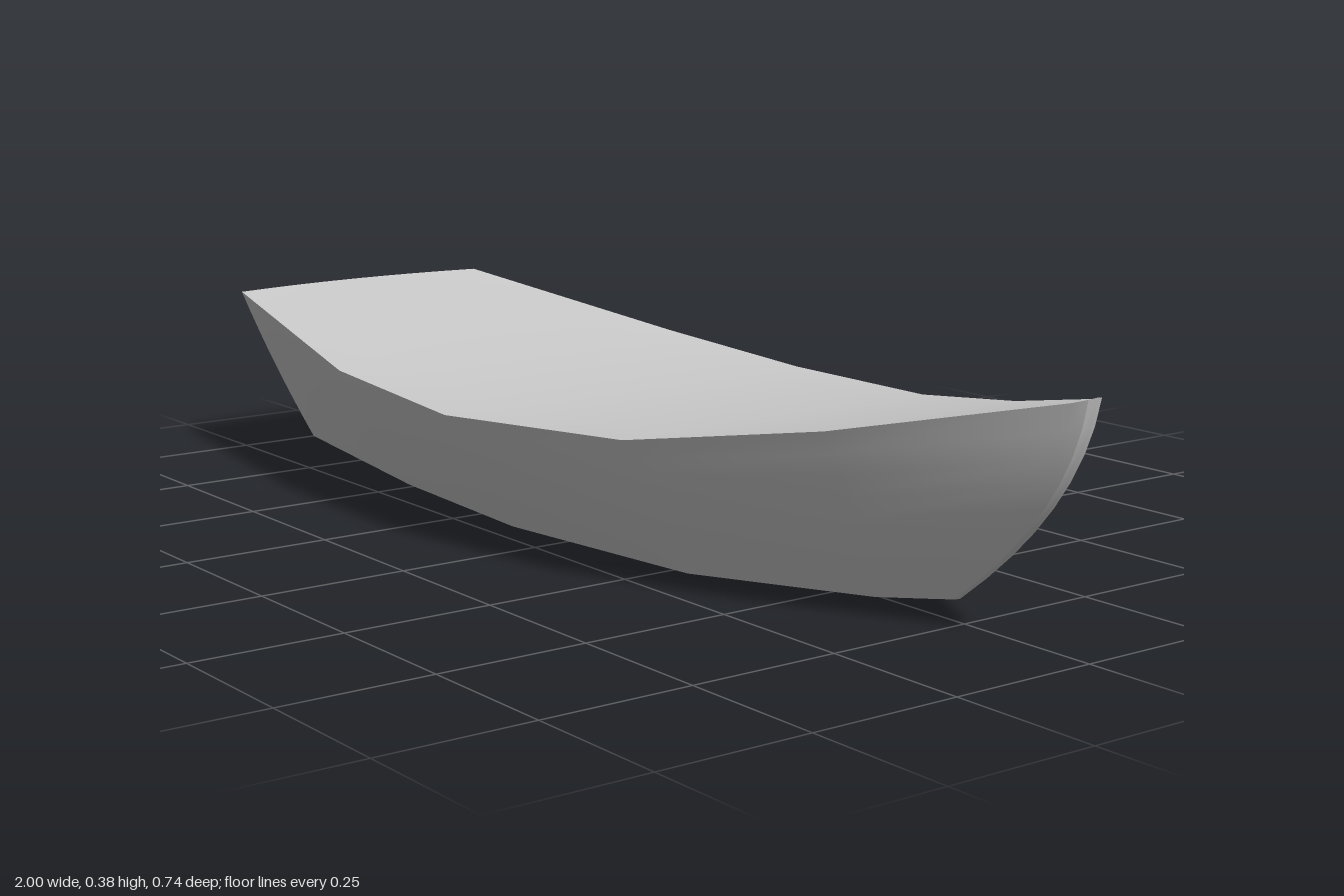
import * as THREE from 'three';
import { toCreasedNormals } from 'three/addons/utils/BufferGeometryUtils.js';

const lerp = THREE.MathUtils.lerp;

// Stations from stern to bow: sheer point, chine point, keel height,
// swell of the side along x and z, and camber of the stern along x
const stations = [
  { sheer: [-0.975, 0.305, 0.262], chine: [-0.84, 0.038, 0.19], keel: 0.034, bx: 0, bz: 0.005, camber: -0.025 },
  { sheer: [-0.44, 0.241, 0.357], chine: [-0.44, 0.021, 0.222], keel: 0.009, bx: 0, bz: 0.006, camber: 0 },
  { sheer: [-0.08, 0.222, 0.369], chine: [-0.08, 0.018, 0.24], keel: 0.003, bx: 0, bz: 0.006, camber: 0 },
  { sheer: [0.32, 0.24, 0.305], chine: [0.32, 0.013, 0.18], keel: 0, bx: 0, bz: 0.008, camber: 0 },
  { sheer: [0.65, 0.294, 0.19], chine: [0.62, 0.022, 0.06], keel: 0.016, bx: 0.01, bz: 0.01, camber: 0 },
  { sheer: [0.975, 0.367, 0.026], chine: [0.715, 0.032, 0.014], keel: 0.03, bx: 0.05, bz: 0, camber: 0 },
  { sheer: [0.994, 0.373, 0.013], chine: [0.734, 0.035, 0.007], keel: 0.034, bx: 0.05, bz: 0, camber: 0 },
  { sheer: [1, 0.376, 0], chine: [0.74, 0.036, 0], keel: 0.036, bx: 0.05, bz: 0, camber: 0 },
];

// Point on the topsides: t runs from chine (0) to sheer (1)
function sidePoint(st, side, t) {
  const swell = 4 * t * (1 - t);
  return [
    lerp(st.chine[0], st.sheer[0], t) + st.bx * swell,
    lerp(st.chine[1], st.sheer[1], t),
    side * (lerp(st.chine[2], st.sheer[2], t) + st.bz * swell),
  ];
}

// Point across the boat at height t: s runs from -1 to 1
function crossPoint(st, s, t) {
  const [x, y, z] = sidePoint(st, 1, t);
  return [x + st.camber * t * (1 - s * s), y, z * s];
}

// Skin a grid of points
function loft(name, rows, crease) {
  const cols = rows[0].length;
  const index = [];
  for (let i = 0; i < rows.length - 1; i++) {
    for (let j = 0; j < cols - 1; j++) {
      const a = i * cols + j;
      index.push(a, a + 1, a + cols, a + 1, a + cols + 1, a + cols);
    }
  }
  const geometry = new THREE.BufferGeometry();
  geometry.setAttribute('position', new THREE.Float32BufferAttribute(rows.flat(2), 3));
  geometry.setIndex(index);
  geometry.computeVertexNormals();
  const material = new THREE.MeshStandardMaterial({ color: 0xcccccc, side: THREE.DoubleSide });
  const mesh = new THREE.Mesh(toCreasedNormals(geometry, crease), material);
  mesh.name = name;
  return mesh;
}

const steps = (from, to, n) => Array.from({ length: n + 1 }, (_, i) => lerp(from, to, i / n));

export function createModel() {
  const boat = new THREE.Group();
  boat.name = 'boatHull';

  // Topsides, running round to the rounded stem
  const down = steps(1, 0, 8), up = steps(0, 1, 8);
  boat.add(loft('leftTopside', stations.map(st => down.map(t => sidePoint(st, 1, t))), 0.3));
  boat.add(loft('rightTopside', stations.map(st => up.map(t => sidePoint(st, -1, t))), 0.3));

  // Shallow bottom with a flat keel strip
  boat.add(loft('bottom', stations.map(st => [1, 0.18, -0.18, -1].map(s => [
    st.chine[0], Math.abs(s) === 1 ? st.chine[1] : st.keel, st.chine[2] * s,
  ])), 0.2));

  // Deck following the sheer
  const across = steps(-1, 1, 8);
  boat.add(loft('deck', stations.map(st => across.map(s => crossPoint(st, s, 1))), 0.2));

  // Raked, slightly cambered transom, with its foot meeting the bottom
  const stern = stations[0];
  boat.add(loft('transom', up.map(t => across.map(s => {
    const p = crossPoint(stern, s, t);
    if (t === 0 && Math.abs(s) < 1) p[1] = lerp(stern.keel, stern.chine[1], Math.max(0, (Math.abs(s) - 0.18) / 0.82));
    return p;
  })), 0.5));

  return boat;
}
